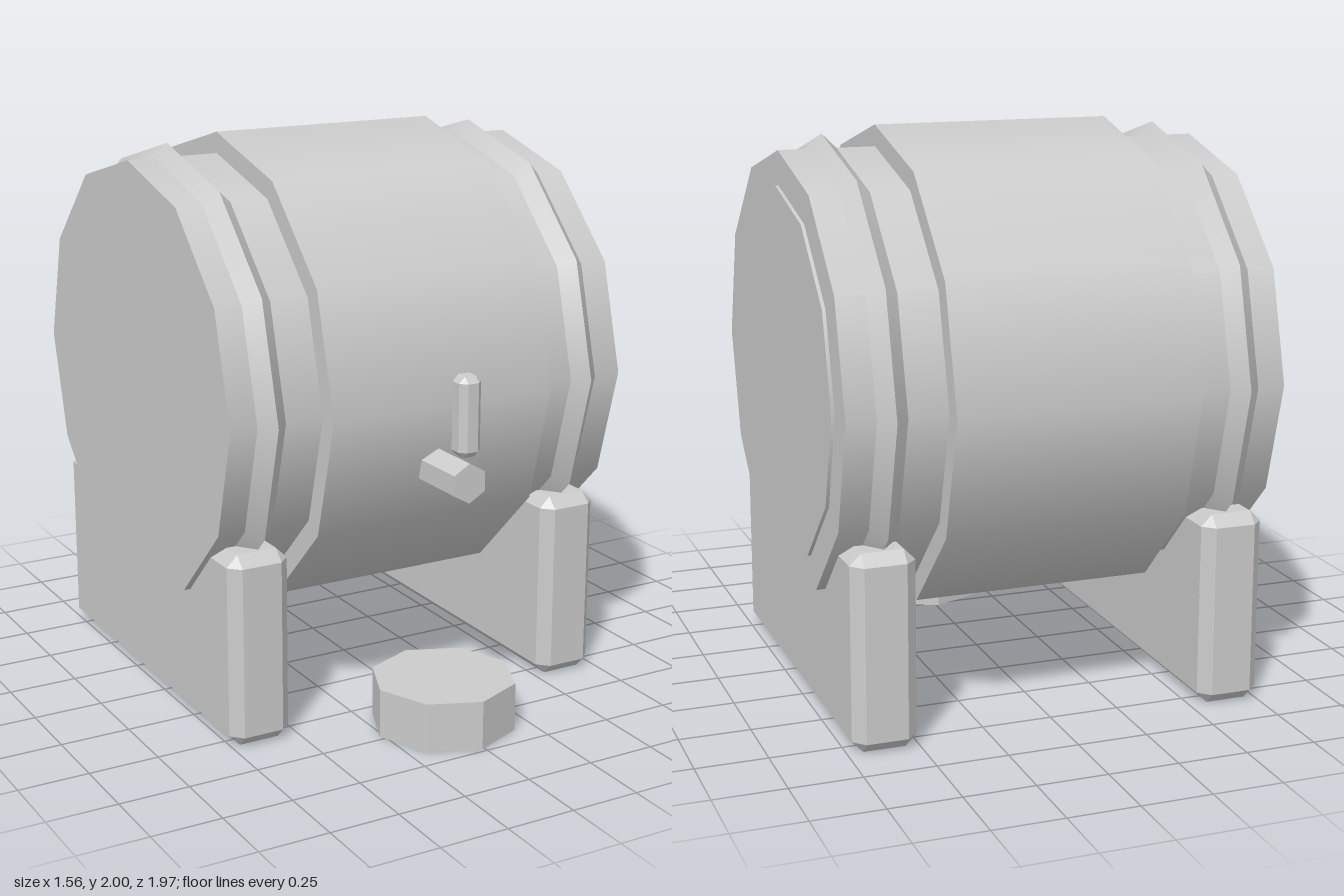
import * as THREE from 'three';
import { ConvexGeometry } from 'three/addons/geometries/ConvexGeometry.js';

const AXIS_Y = 1.15, AXIS_Z = -0.13, CX = -0.01;

// Box with every edge cut at 45 degrees
function chamferBox(w, h, d, c) {
  const pts = [];
  for (const x of [-1, 1]) for (const y of [-1, 1]) for (const z of [-1, 1]) {
    const a = w / 2, b = h / 2, e = d / 2;
    pts.push(
      new THREE.Vector3(x * a, y * (b - c), z * (e - c)),
      new THREE.Vector3(x * (a - c), y * b, z * (e - c)),
      new THREE.Vector3(x * (a - c), y * (b - c), z * e));
  }
  return new ConvexGeometry(pts);
}

// Faceted prism with hard edges
function prism(radius, length, sides) {
  const g = new THREE.CylinderGeometry(radius, radius, length, sides).toNonIndexed();
  g.computeVertexNormals();
  return g;
}

export function createModel() {
  const model = new THREE.Group();
  const grey = new THREE.MeshStandardMaterial({ color: 0xcccccc });

  function add(name, geometry, x, y, z, parent = model) {
    const mesh = new THREE.Mesh(geometry, grey);
    mesh.name = name;
    mesh.position.set(x, y, z);
    parent.add(mesh);
    return mesh;
  }

  // Twelve-sided barrel lying along x
  const barrel = new THREE.Group();
  barrel.name = 'barrel';
  barrel.position.set(0, AXIS_Y, AXIS_Z);
  model.add(barrel);

  // Drum section from x0 (radius r0) to x1 (radius r1)
  function drum(name, x0, x1, r0, r1, open = false) {
    const g = new THREE.CylinderGeometry(r1, r0, x1 - x0, 12, 1, open).rotateZ(-Math.PI / 2);
    add(name, g, (x0 + x1) / 2, 0, 0, barrel);
  }
  drum('barrelBody', -0.78, 0.765, 0.775, 0.775);
  drum('barrelMiddle', -0.44, 0.42, 0.85, 0.85);
  drum('endDisc', 0.76, 0.777, 0.655, 0.655);

  // Peaked hoops
  for (const x of [-0.63, 0.61]) {
    drum('hoopOuterSlope', x - 0.052, x, 0.775, 0.825, true);
    drum('hoopInnerSlope', x, x + 0.052, 0.825, 0.775, true);
  }

  // Stand plates under both ends
  for (const x of [-0.643, 0.62]) {
    add('standPlate', chamferBox(0.226, 0.69, 1.44, 0.04), x, 0.345, -0.13);
  }

  // Tap: hexagonal spout with a floating handle above it
  const spout = prism(0.07, 0.3, 6).rotateX(Math.PI / 2);
  add('tapSpout', spout, CX, 0.92, 0.725);
  add('tapHandle', chamferBox(0.085, 0.28, 0.085, 0.022), CX, 1.15, 0.847);

  // Octagonal block on the floor under the tap
  add('floorBlock', prism(0.256, 0.175, 8), CX, 0.0875, 0.729);

  return model;
}
